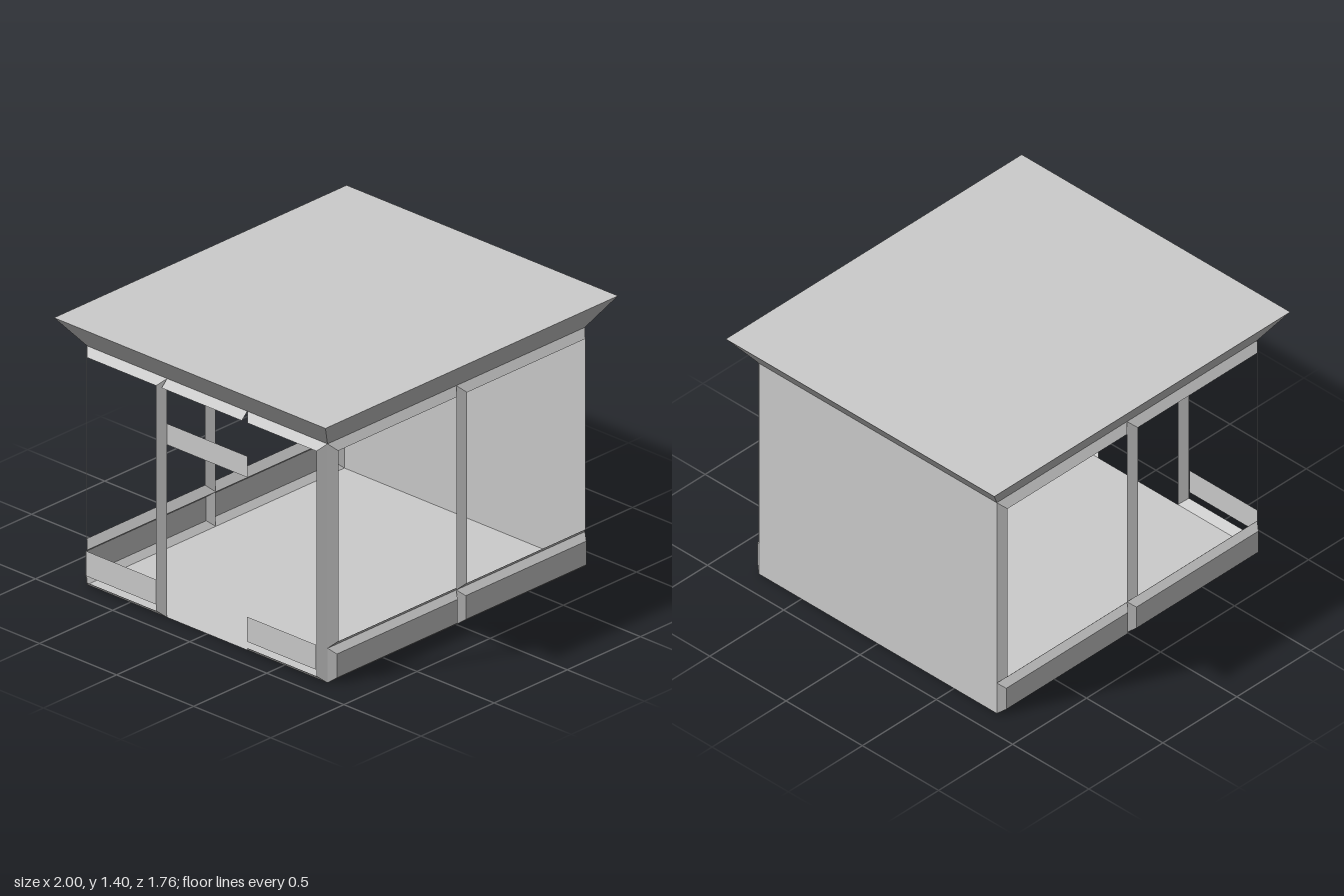
import * as THREE from 'three';

const W = 0.88, D = 0.78, TOP = 1.245, SILL = 0.18;

// Four corners of a rectangle, anticlockwise, at depth z
const rect = (l, r, b, t, z) => [[l, b, z], [r, b, z], [r, t, z], [l, t, z]];

// Flat-shaded surface made of four-cornered faces
function quads(list) {
  const pos = list.flatMap(([a, b, c, d]) => [a, b, c, a, c, d].flat());
  const g = new THREE.BufferGeometry();
  g.setAttribute('position', new THREE.Float32BufferAttribute(pos, 3));
  g.computeVertexNormals();
  return g;
}

// Bevelled surround that stands proud of a wall; closed ones carry a face
function bevelled(l, r, b, t, inset, depth, closed) {
  const o = rect(l, r, b, t, 0);
  const i = rect(l + inset, r - inset, b + inset, t - inset, depth);
  const list = o.map((p, k) => [p, o[(k + 1) % 4], i[(k + 1) % 4], i[k]]);
  if (closed) list.push(i);
  return quads(list);
}

export function createModel() {
  const model = new THREE.Group();
  model.name = 'pavilion';
  const grey = new THREE.MeshStandardMaterial({ color: 0xcccccc });
  grey.name = 'light grey';
  grey.side = THREE.DoubleSide;

  const add = (parent, name, geometry) => {
    const mesh = new THREE.Mesh(geometry, grey);
    mesh.name = name;
    parent.add(mesh);
  };

  // Floor and solid wall on the left
  add(model, 'floor', quads([[[-W, 0, D], [-W, 0, -D], [W, 0, -D], [W, 0, D]]]));
  add(model, 'leftWall', quads([[[W, 0, D], [W, 0, -D], [W, TOP, -D], [W, TOP, D]]]));

  // Roof: flared eaves under a flat top
  const ring = (x, z, y) => [[-x, y, z], [x, y, z], [x, y, -z], [-x, y, -z]];
  const low = ring(W, D, TOP), high = ring(1, 0.88, 1.4);
  add(model, 'eaves', quads(low.map((p, k) => [p, low[(k + 1) % 4], high[(k + 1) % 4], high[k]])));
  add(model, 'roofTop', quads([high]));

  // Front and back: two open windows above two low panels
  for (const [name, turn] of [['front', 0], ['back', Math.PI]]) {
    const side = new THREE.Group();
    side.name = name + 'Side';
    side.rotation.y = turn;
    side.translateZ(D);
    for (const l of [-W, 0]) {
      add(side, name + 'WindowFrame', bevelled(l, l + W, SILL, TOP, 0.036, 0.036, false));
      add(side, name + 'LowPanel', bevelled(l, l + W, 0, SILL, 0.028, 0.035, true));
    }
    model.add(side);
  }

  // Right side: open bays with low boards either side of a doorway
  const entry = new THREE.Group();
  entry.name = 'entranceSide';
  entry.rotation.y = -Math.PI / 2;
  entry.translateZ(W);
  for (const s of [-1, 1]) {
    const [l, r] = s < 0 ? [-D, -0.26] : [0.26, D];
    add(entry, 'bayFrame', bevelled(l, r, 0, TOP, 0.036, 0.038, false));
    add(entry, 'lowBoard', quads([rect(l + 0.036, r - 0.036, 0.07, 0.2, 0.04)]));
  }
  // Doorway lintel and the board hung across it
  add(entry, 'doorLintel', quads([[[0.26, TOP, 0], [-0.26, TOP, 0], [-0.26, TOP - 0.036, 0.038], [0.26, TOP - 0.036, 0.038]]]));
  add(entry, 'hangingBoard', quads([rect(-0.26, 0.26, 0.9, 1.01, 0)]));
  model.add(entry);

  return model;
}
